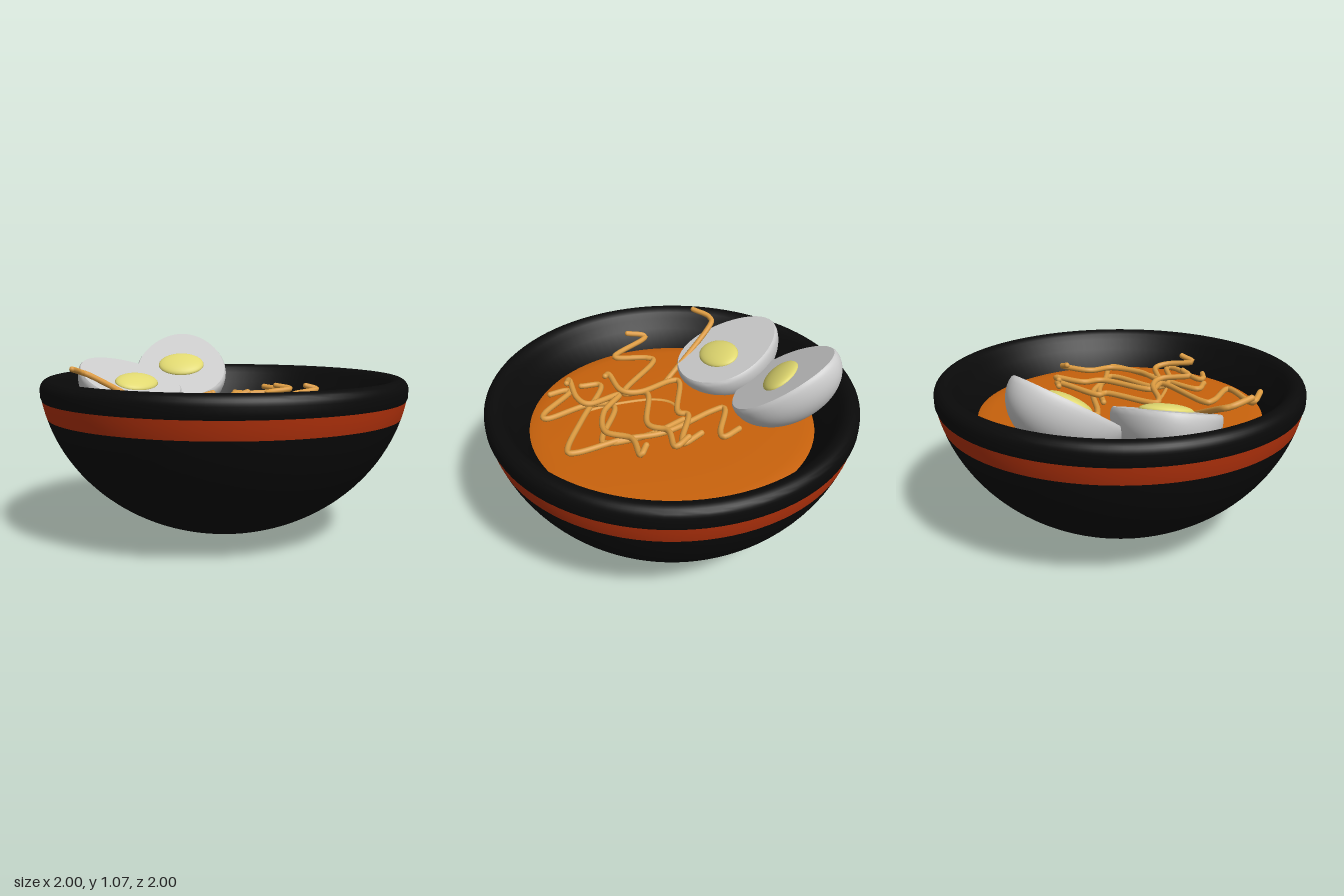
import * as THREE from 'three';
import { toCreasedNormals } from 'three/addons/utils/BufferGeometryUtils.js';

const mat = (color) => new THREE.MeshStandardMaterial({ color });
const BLACK = mat(0x0a0a0a);
const RED = mat(0xb8330c);
const BROTH = mat(0xc8620c);
const NOODLE = mat(0xdb9a40);
const WHITE = mat(0xcccccc);
const YOLK = mat(0xe0d870);

function add(parent, name, geometry, material) {
  const mesh = new THREE.Mesh(geometry, material);
  mesh.name = name;
  parent.add(mesh);
  return mesh;
}

const lathe = (points, segments = 96) =>
  toCreasedNormals(new THREE.LatheGeometry(points.map(([r, y]) => new THREE.Vector2(r, y)), segments), 0.6);

// Quarter ellipse around (r, y), from the side (angle 0) to the pole
function quarter(r, y, a, b, n) {
  return Array.from({ length: n + 1 }, (_, i) => {
    const t = (i / n) * Math.PI / 2;
    return [r + a * Math.cos(t), y + b * Math.sin(t)];
  });
}

// Outer wall of the bowl between two heights, points closer near the bottom
const wall = (y) => 1.006 * Math.sqrt(Math.max(0, 1 - ((0.9 - y) / 0.9) ** 2));
function wallPoints(y0, y1, n) {
  return Array.from({ length: n + 1 }, (_, i) => {
    const y = y0 + (y1 - y0) * (i / n) ** 2;
    return [wall(y), y];
  });
}

// Half egg: flat face at y = 0, narrow end at +z, round back below
function halfEgg(name, centre, up, normal, yolkOffset) {
  const egg = new THREE.Group();
  egg.name = name;
  const profile = [...quarter(0, -0.03, 1, -0.23, 16).reverse(), [0.99, -0.01], [0.965, 0], [0, 0]];
  const shell = new THREE.LatheGeometry(profile.map(([r, y]) => new THREE.Vector2(r, y)), 48);
  const p = shell.attributes.position;
  for (let i = 0; i < p.count; i++) {
    const t = p.getZ(i);
    p.setX(i, p.getX(i) * 0.275 * (1 - 0.16 * t));
    p.setZ(i, t * 0.325);
  }
  add(egg, 'eggWhite', toCreasedNormals(shell, 0.7), WHITE);
  const yolk = add(egg, 'eggYolk', new THREE.SphereGeometry(1, 32, 16), YOLK);
  yolk.scale.set(0.14, 0.035, 0.105);
  yolk.position.z = yolkOffset;

  const n = new THREE.Vector3(...normal).normalize();
  const u = new THREE.Vector3(...up).projectOnPlane(n).normalize();
  const w = new THREE.Vector3().crossVectors(n, u);
  egg.quaternion.setFromRotationMatrix(new THREE.Matrix4().makeBasis(w, n, u));
  egg.position.set(...centre);
  return egg;
}

// Noodle: a capped tube along (x, z) points; its two ends rise from the broth
function noodle(path, { start = 0, end = 0, power = 2, base = 0.7, radius = 0.016 }) {
  const group = new THREE.Group();
  group.name = 'noodle';
  const curve = new THREE.CatmullRomCurve3(path.map(([x, z], i) => {
    const t = i / (path.length - 1);
    return new THREE.Vector3(x, base + start * (1 - t) ** 2 + end * t ** power, z);
  }), false, 'catmullrom', 0.5);
  add(group, 'noodleStrand', new THREE.TubeGeometry(curve, path.length * 12, radius, 10), NOODLE);
  for (const t of [0, 1]) {
    const cap = add(group, 'noodleEnd', new THREE.SphereGeometry(radius, 10, 8), NOODLE);
    cap.position.copy(curve.getPoint(t));
  }
  return group;
}

export function createModel() {
  const model = new THREE.Group();
  model.name = 'noodleBowl';

  // Bowl: lower body, coloured band, rounded rim with the inner wall
  const bowl = new THREE.Group();
  bowl.name = 'bowl';
  model.add(bowl);
  add(bowl, 'bowlBody', lathe(wallPoints(0, 0.655, 32)), BLACK);
  add(bowl, 'bowlBand', lathe(wallPoints(0.655, 0.75, 6)), RED);
  add(bowl, 'bowlRimAndInside', lathe([
    [wall(0.75), 0.75], [1, 0.77],
    ...quarter(0.945, 0.81, 0.055, 0.055, 8),
    [0.925, 0.86], [0.905, 0.845], [0.885, 0.815], [0.85, 0.76],
    ...quarter(0, 0.66, 0.78, -0.56, 12),
  ]), BLACK);

  // Broth: a very shallow dome
  add(model, 'broth', lathe([[0.785, 0.655], [0.76, 0.665], [0.7, 0.671], [0.5, 0.677], [0, 0.681]]), BROTH);

  // Egg halves leaning on the bowl wall
  model.add(halfEgg('backEgg', [-0.56, 0.895, -0.22], [-0.57, 0.57, -0.6], [0.39, 0.83, 0.41], -0.01));
  model.add(halfEgg('frontEgg', [-0.51, 0.84, 0.26], [-0.93, 0.33, 0.1], [0.33, 0.94, 0.06], -0.07));

  // Noodles lying on the broth
  const noodles = new THREE.Group();
  noodles.name = 'noodles';
  model.add(noodles);
  const lay = (path, shape) => noodles.add(noodle(path, shape));
  lay([[-0.22, -0.34], [-0.12, -0.36], [-0.13, -0.3], [-0.26, -0.13], [-0.18, -0.11], [0.12, -0.16], [0.35, -0.11],
    [0.6, -0.1], [0.63, -0.04], [0.46, 0.17], [0.24, 0.42], [0.34, 0.48]], { start: 0.03 });
  lay([[0.01, -0.34], [0.12, -0.36], [0.1, -0.3], [-0.03, -0.13], [0, -0.06], [-0.14, 0.17], [-0.1, 0.215],
    [0.1, 0.18], [0.2, 0.23], [0.2, 0.38], [0.24, 0.35]], { start: 0.08, end: 0.11 });
  lay([[0.09, -0.35], [0.18, -0.37], [0.14, -0.22], [0.2, -0.1], [0.07, 0.16], [0.18, 0.24], [-0.1, 0.44],
    [-0.1, 0.51], [0.07, 0.6], [-0.16, 0.69], [-0.18, 0.72], [-0.09, 0.755]], { start: 0.09, end: 0.1 });
  lay([[0.32, -0.33], [0.37, -0.36], [0.34, -0.2], [0.43, -0.07], [0.36, 0.1], [0.22, 0.21], [0.4, 0.19],
    [0.45, 0.26], [0.43, 0.41], [0.47, 0.35]], { start: 0.105, end: 0.13 });
  lay([[-0.02, -0.09], [0.2, -0.13], [0.42, -0.1], [0.43, -0.03], [0.26, 0.19], [0.38, 0.28], [0.62, 0.26],
    [0.62, 0.32], [0.43, 0.44], [0.44, 0.48], [0.53, 0.48]], {});
  // A strand draped over the front egg, and one half sunk in the broth
  lay([[-0.14, 0.34], [-0.5, 0.49], [-0.56, 0.56], [-0.5, 0.66]], { start: -0.03, end: 0.21, power: 0.25 });
  lay([[-0.06, 0], [-0.05, 0.12], [0.05, 0.2], [0.25, 0.25], [0.4, 0.26]], { base: 0.676, radius: 0.011 });

  return model;
}
